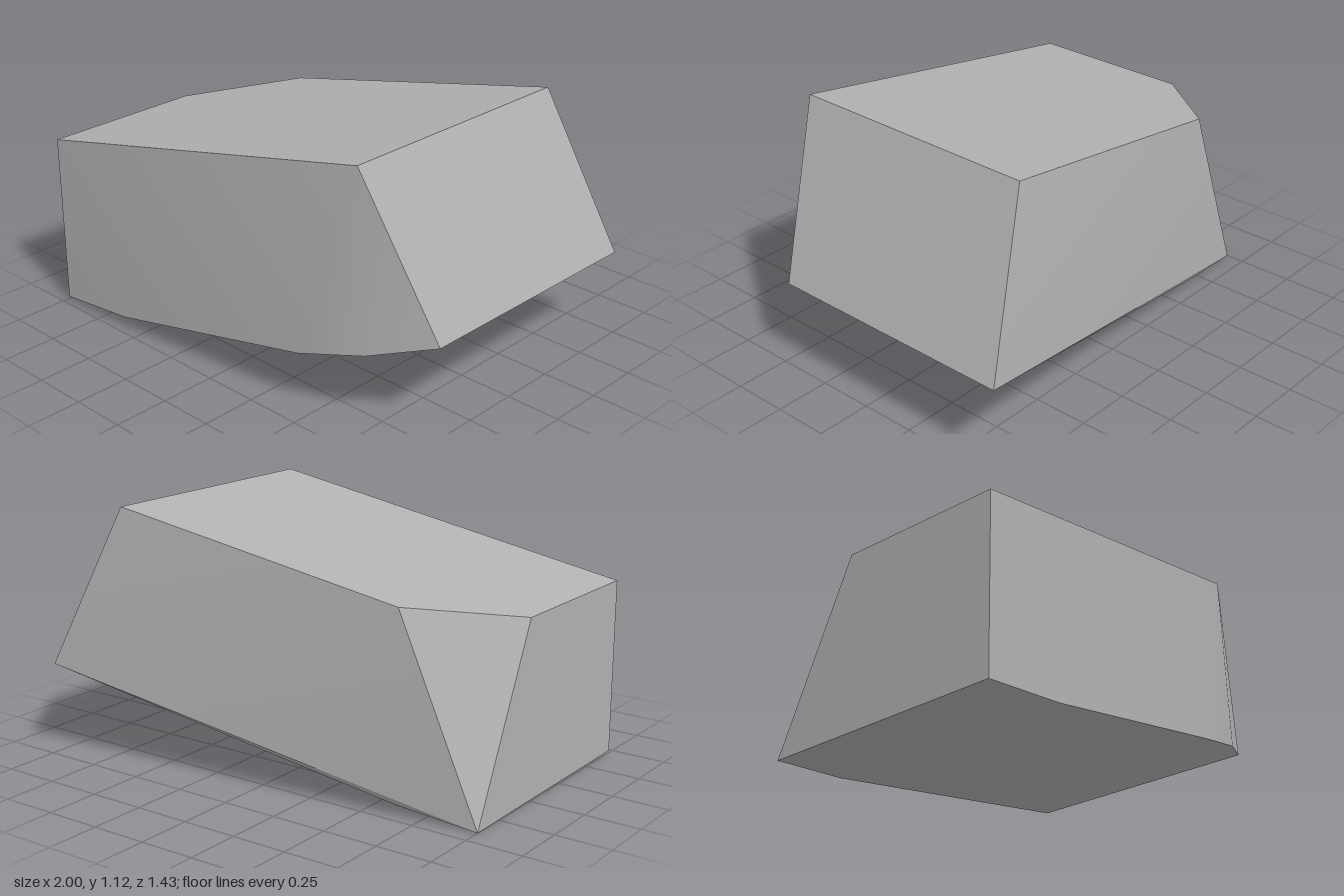
import * as THREE from 'three';
import { ConvexGeometry } from 'three/addons/geometries/ConvexGeometry.js';
import { toCreasedNormals } from 'three/addons/utils/BufferGeometryUtils.js';

export function createModel() {
  const group = new THREE.Group();
  group.name = 'rock';
  const stoneGrey = new THREE.MeshStandardMaterial({ color: 0xb2b2b2 });
  stoneGrey.name = 'stoneGrey';

  // sloping top, with one clipped corner at the back
  const top = [
    [-1, 0.797, 0.715], [0.685, 1.13, 0.588], [0.695, 1.13, -0.578],
    [-0.64, 0.87, -0.45], [-1, 0.797, -0.04],
  ];
  // lower rim, rounded at the front
  const rim = [
    [-1, 0.015, 0.715], [-0.6, 0.055, 0.712], [0.43, 0.257, 0.655],
    [0.73, 0.335, 0.588], [0.993, 0.413, 0.445], [1, 0.413, -0.715], [-1, 0.005, -0.413],
  ];
  // gently bulging underside
  const belly = [[-0.63, 0.05, -0.45], [-0.26, 0.11, -0.2], [0.1, 0.178, -0.3], [0.43, 0.252, -0.4]];

  const points = [...top, ...rim, ...belly].map((p) => new THREE.Vector3(...p));
  const block = new THREE.Mesh(toCreasedNormals(new ConvexGeometry(points), 0.5), stoneGrey);
  block.name = 'stoneBlock';
  group.add(block);
  return group;
}
